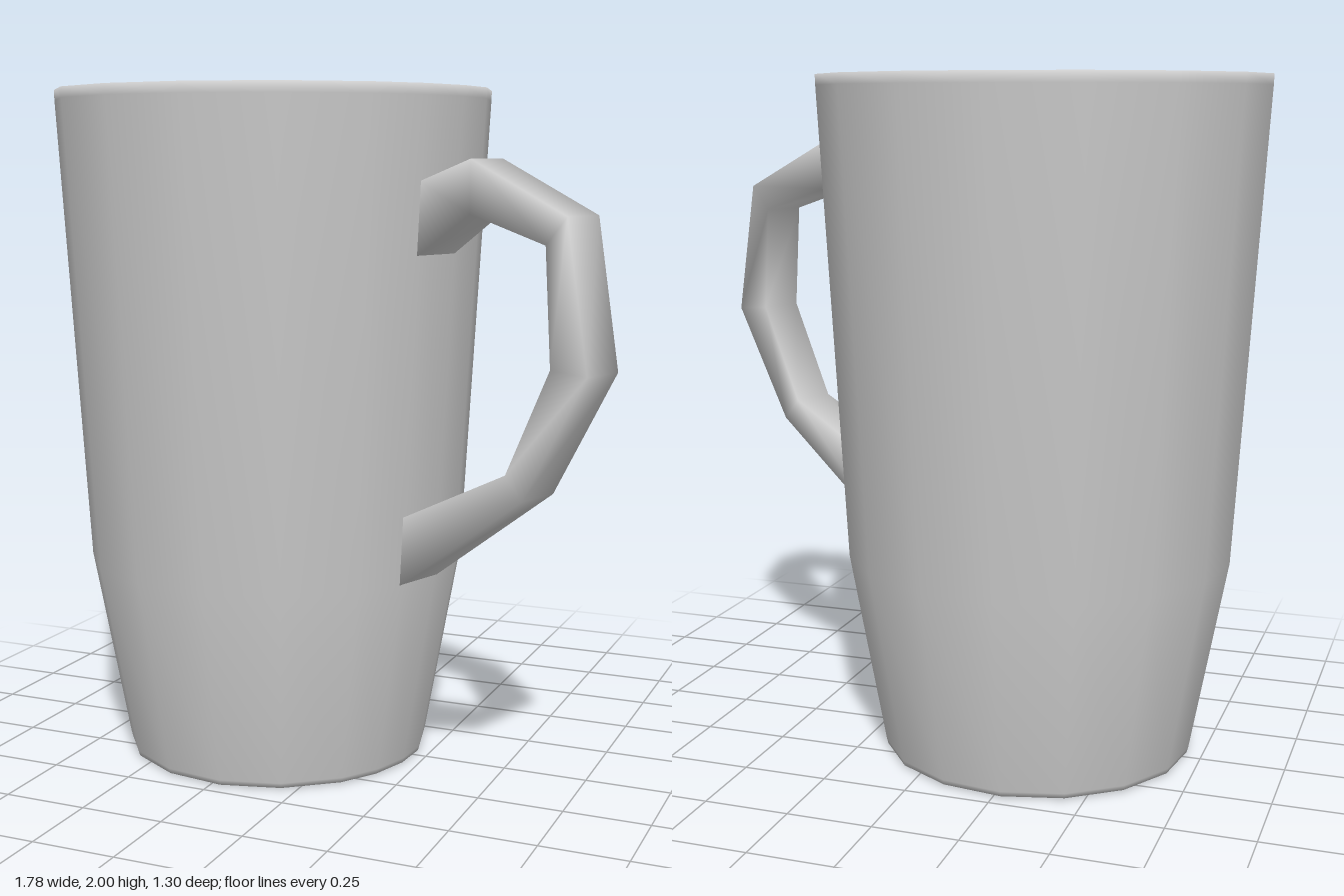
import * as THREE from 'three';

const CUP_X = -0.245;                 // cup axis
const HANDLE_TURN = 18.7 * Math.PI / 180; // handle swings from +x toward +z

const material = () => new THREE.MeshStandardMaterial({ color: 0xcccccc });

// Faceted cup wall: 15 even columns plus a pair that frames the handle
function makeCup() {
  const profile = [
    [0, 0], [0.435, 0], [0.46, 0.005], [0.464, 0.02],   // underside
    [0.57, 0.6], [0.649, 1.97], [0.65, 2],              // outer wall
    [0.605, 2], [0.562, 2], [0.56, 1.97],               // rim
    [0.485, 0.6], [0.41, 0.12], [0.395, 0.105], [0, 0.1], // inner wall and floor
  ].map(([r, y]) => new THREE.Vector2(r, y));

  const degrees = [26, 11];
  for (let i = 0; i < 15; i++) degrees.push(-3.5 - i * 22.5);
  degrees.push(26 - 360);

  const geometry = new THREE.LatheGeometry(profile, degrees.length - 1);
  const { position, normal } = geometry.attributes;
  degrees.forEach((deg, i) => {
    const a = THREE.MathUtils.degToRad(deg);
    const phi = (i / (degrees.length - 1)) * Math.PI * 2;
    const turn = a - (Math.PI / 2 - phi);
    const c = Math.cos(turn), s = Math.sin(turn);
    for (let j = 0; j < profile.length; j++) {
      const k = i * profile.length + j;
      for (const attr of [position, normal]) {
        const x = attr.getX(k), z = attr.getZ(k);
        attr.setX(k, x * c - z * s);
        attr.setZ(k, x * s + z * c);
      }
    }
  });
  const cup = new THREE.Mesh(geometry, material());
  cup.name = 'cup';
  return cup;
}

// Angular handle: four-cornered cross-sections joined into a loop
function makeHandle() {
  // inner radius, inner y, outer radius, outer y, half width
  const sections = [
    [0.572, 0.8, 0.561, 0.6, 0.083],
    [0.918, 0.965, 0.974, 0.9, 0.073],
    [1.056, 1.26, 1.17, 1.25, 0.073],
    [1.035, 1.58, 1.1, 1.655, 0.073],
    [0.79, 1.655, 0.79, 1.8, 0.073],
    [0.614, 1.535, 0.626, 1.74, 0.083],
  ];
  const points = [], index = [];
  sections.forEach(([ri, yi, ro, yo, w], i) => {
    points.push(ri, yi, w, ro, yo, w, ro, yo, -w, ri, yi, -w);
    if (i === 0) return;
    for (let k = 0; k < 4; k++) {
      const a = (i - 1) * 4 + k, b = (i - 1) * 4 + (k + 1) % 4;
      index.push(a, b, b + 4, a, b + 4, a + 4);
    }
  });
  const geometry = new THREE.BufferGeometry();
  geometry.setAttribute('position', new THREE.Float32BufferAttribute(points, 3));
  geometry.setIndex(index);
  geometry.computeVertexNormals();
  const handle = new THREE.Mesh(geometry, material());
  handle.name = 'handle';
  handle.rotation.y = -HANDLE_TURN;
  return handle;
}

export function createModel() {
  const mug = new THREE.Group();
  mug.name = 'mug';
  mug.add(makeCup(), makeHandle());
  mug.position.x = CUP_X;
  const model = new THREE.Group();
  model.add(mug);
  return model;
}
